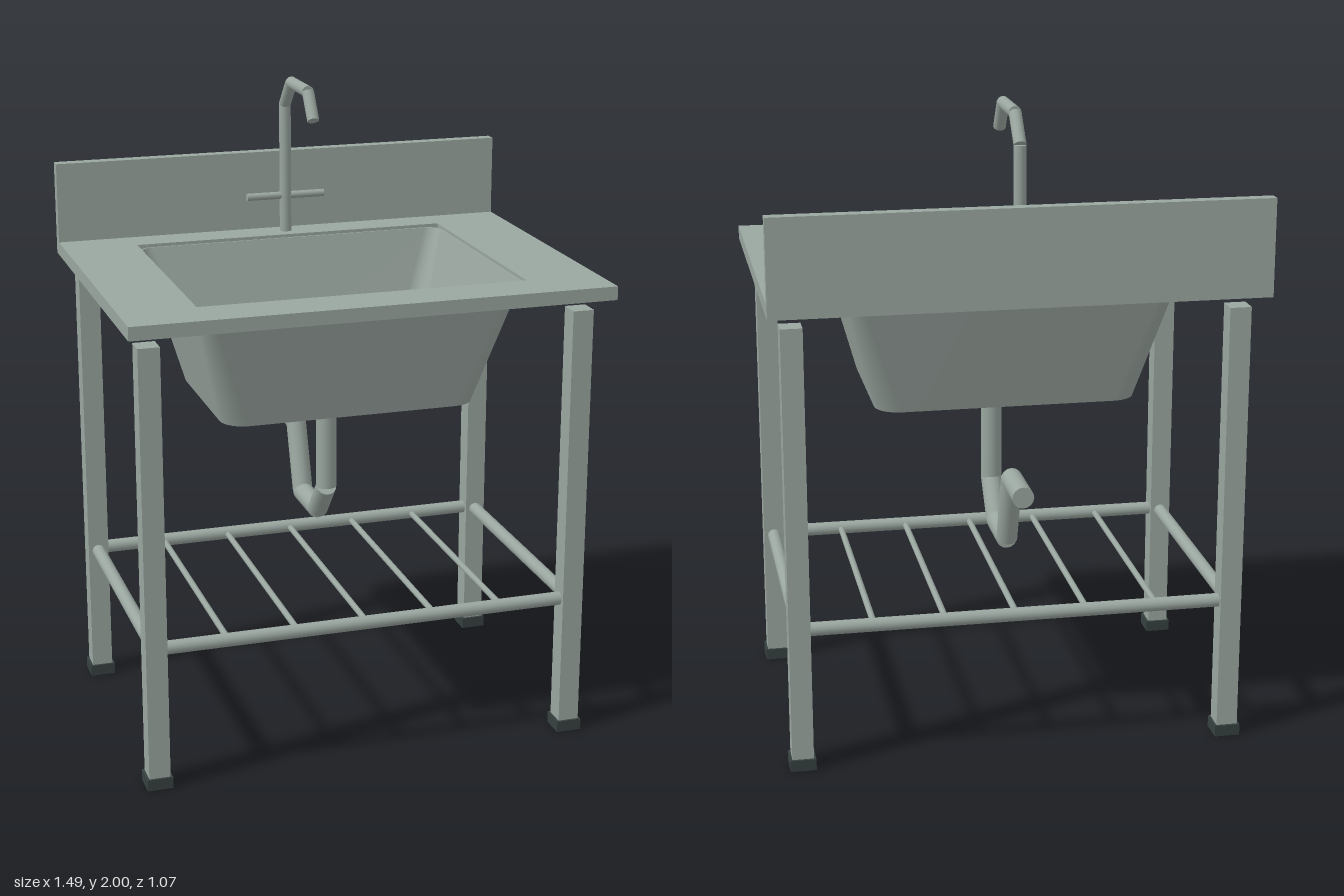
import * as THREE from 'three';
import { mergeGeometries } from 'three/addons/utils/BufferGeometryUtils.js';

const steel = new THREE.MeshStandardMaterial({ color: 0x9aa6a0 });
steel.name = 'steel';
const rubber = new THREE.MeshStandardMaterial({ color: 0x36413f });
rubber.name = 'dark rubber';

export function createModel() {
  const group = new THREE.Group();

  const add = (name, geometry, material, x = 0, y = 0, z = 0) => {
    const mesh = new THREE.Mesh(geometry, material);
    mesh.name = name;
    mesh.position.set(x, y, z);
    group.add(mesh);
    return mesh;
  };
  const box = (name, w, h, d, x, y, z, material = steel) =>
    add(name, new THREE.BoxGeometry(w, h, d), material, x, y, z);

  // Straight round bar between two points
  const rod = (name, from, to, radius, sides = 16) => {
    const a = new THREE.Vector3(...from), b = new THREE.Vector3(...to);
    const dir = b.clone().sub(a);
    const mesh = add(name, new THREE.CylinderGeometry(radius, radius, dir.length(), sides), steel);
    mesh.position.copy(a).add(b).multiplyScalar(0.5);
    mesh.quaternion.setFromUnitVectors(new THREE.Vector3(0, 1, 0), dir.normalize());
  };
  // Mitre-free pipe run in the x = 0 plane, from [y, z] points
  const pipe = (name, points, radius) => {
    for (let i = 1; i < points.length; i++) {
      rod(name + i, [0, ...points[i - 1]], [0, ...points[i]], radius);
    }
  };

  // Worktop with a rectangular cut-out
  const rect = (path, hx, hy) =>
    path.moveTo(-hx, -hy).lineTo(hx, -hy).lineTo(hx, hy).lineTo(-hx, hy).closePath();
  const topShape = rect(new THREE.Shape(), 0.743, 0.537);
  topShape.holes.push(rect(new THREE.Path(), 0.51, 0.39));
  const topGeometry = new THREE.ExtrudeGeometry(topShape, { depth: 0.042, bevelEnabled: false });
  topGeometry.rotateX(-Math.PI / 2);
  add('worktop', topGeometry, steel, 0, 1.44, 0);
  box('backsplash', 1.486, 0.257, 0.038, 0, 1.608, -0.518);

  // Basin: rounded-rectangle sections [halfX, halfZ, cornerRadius, y]
  const section = ([hx, hz, r, y]) => {
    const points = [];
    const corners = [[1, 1], [-1, 1], [-1, -1], [1, -1]];
    corners.forEach(([sx, sz], c) => {
      for (let i = 0; i <= 8; i++) {
        const t = (c + i / 8) * Math.PI / 2;
        points.push([sx * (hx - r) + r * Math.cos(t), y, sz * (hz - r) + r * Math.sin(t)]);
      }
    });
    return points;
  };
  const strip = (a, b) => {
    const n = a.length, index = [];
    for (let i = 0; i < n; i++) {
      const j = (i + 1) % n;
      index.push(i, n + i, j, j, n + i, n + j);
    }
    const geometry = new THREE.BufferGeometry();
    geometry.setAttribute('position', new THREE.Float32BufferAttribute([...a, ...b].flat(), 3));
    geometry.setIndex(index);
    geometry.computeVertexNormals();
    return geometry;
  };
  const profile = [
    [0, 0, 0, 1.07], // underside centre
    [0.402, 0.287, 0.075, 1.07],
    [0.509, 0.389, 0.045, 1.472],
    [0.504, 0.384, 0.042, 1.472], // rim
    [0.385, 0.274, 0.07, 1.085],
    [0, 0, 0, 1.085], // floor centre
  ].map(section);
  const strips = profile.slice(1).map((loop, i) => strip(profile[i], loop));
  add('basin', mergeGeometries(strips), steel);
  add('drain', new THREE.CylinderGeometry(0.048, 0.048, 0.006, 12), rubber, 0, 1.087, 0);

  // Tap
  pipe('tap', [[1.48, -0.447], [1.9, -0.447], [1.981, -0.372], [1.981, -0.187], [1.9, -0.132]], 0.019);
  rod('tapHandle', [-0.13, 1.6, -0.447], [0.13, 1.6, -0.447], 0.012);

  // Waste pipe with trap
  pipe('wastePipe', [[1.07, 0.003], [0.745, 0.003], [0.635, -0.09], [0.635, -0.26],
    [0.856, -0.335], [0.856, -0.518]], 0.033);

  // Legs and feet
  const legX = 0.669, legZ = 0.428;
  for (const sx of [-1, 1]) {
    for (const sz of [-1, 1]) {
      box('leg', 0.066, 1.36, 0.066, sx * legX, 0.713, sz * legZ);
      box('foot', 0.08, 0.036, 0.08, sx * legX, 0.018, sz * legZ, rubber);
    }
  }

  // Lower rack
  const railY = 0.448;
  for (const s of [-1, 1]) {
    rod('longRail', [-legX, railY, s * legZ], [legX, railY, s * legZ], 0.021);
    rod('sideRail', [s * legX, railY, -legZ], [s * legX, railY, legZ], 0.021);
  }
  for (let i = -2; i <= 2; i++) {
    rod('rackBar', [i * 0.22, railY, -legZ], [i * 0.22, railY, legZ], 0.01, 10);
  }

  return group;
}
